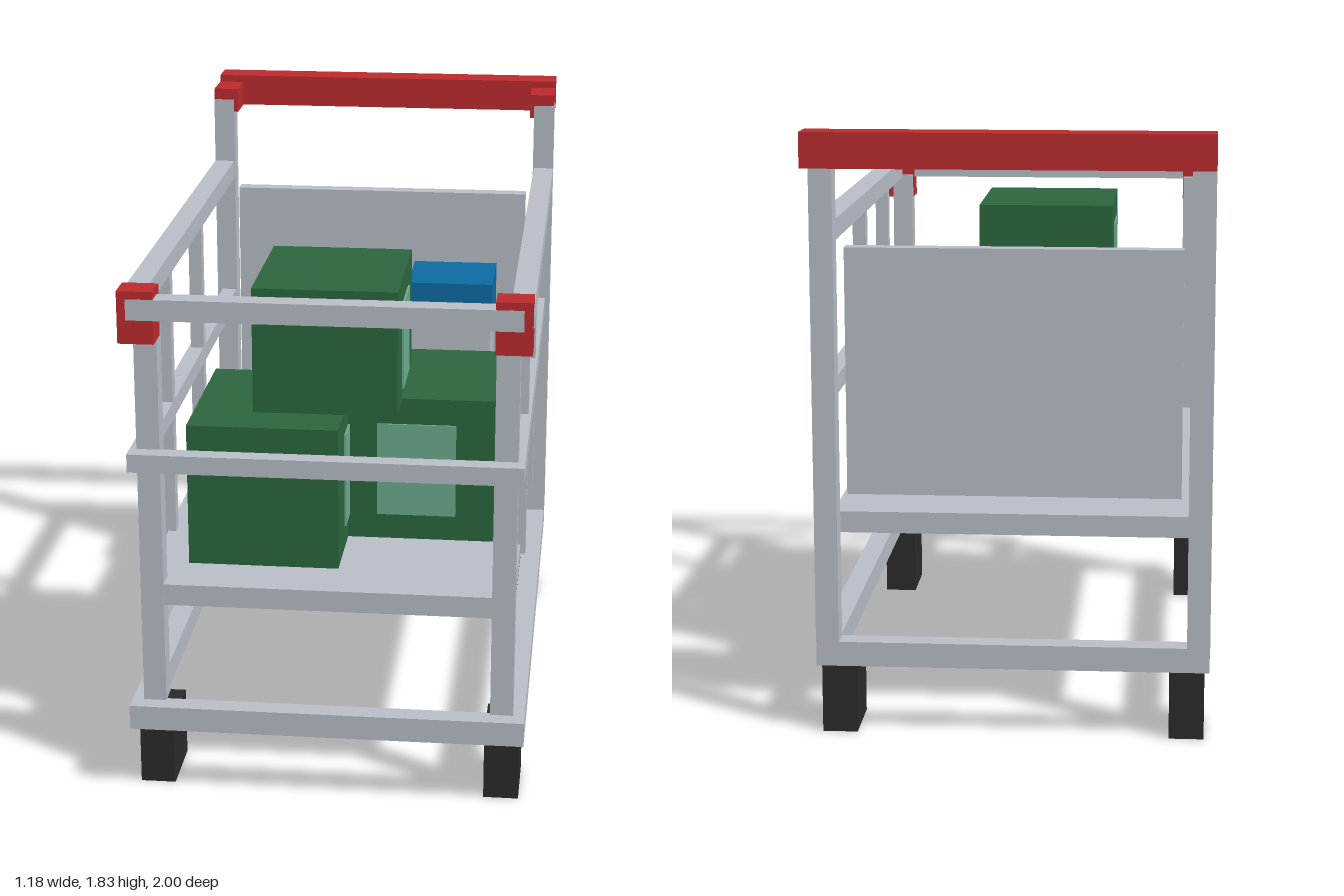
import * as THREE from 'three';

const mat = (name, color) => {
  const m = new THREE.MeshStandardMaterial({ color });
  m.name = name;
  return m;
};

export function createModel() {
  const cart = new THREE.Group();
  cart.name = 'cargoCart';
  const steel = mat('steel grey', 0xb9bec8);
  const red = mat('red', 0xbd2b2d);
  const black = mat('black rubber', 0x2b2b2b);
  const green = mat('dark green', 0x2c673f);
  const mint = mat('pale green', 0x6bad8f);
  const blue = mat('blue', 0x0e6ba4);

  // Box given by its extents on each axis
  const box = (name, m, [x0, x1], [y0, y1], [z0, z1]) => {
    const mesh = new THREE.Mesh(new THREE.BoxGeometry(x1 - x0, y1 - y0, z1 - z0), m);
    mesh.position.set((x0 + x1) / 2, (y0 + y1) / 2, (z0 + z1) / 2);
    mesh.name = name;
    cart.add(mesh);
  };
  // The same box on the left (+x) and right (-x)
  const pair = (name, m, [x0, x1], y, z) => {
    box(name + 'Left', m, [x0, x1], y, z);
    box(name + 'Right', m, [-x1, -x0], y, z);
  };

  // Wheel blocks
  pair('frontWheel', black, [0.47, 0.575], [0, 0.21], [0.715, 0.925]);
  pair('backWheel', black, [0.47, 0.575], [0, 0.21], [-0.825, -0.62]);

  // Base frame and deck
  pair('baseRail', steel, [0.525, 0.59], [0.21, 0.285], [-0.835, 1]);
  box('baseFrontRail', steel, [-0.525, 0.525], [0.21, 0.285], [0.935, 1]);
  box('baseBackRail', steel, [-0.525, 0.525], [0.21, 0.285], [-0.835, -0.765]);
  box('deck', steel, [-0.55, 0.55], [0.595, 0.66], [-0.72, 0.945]);

  // Posts
  pair('frontPost', steel, [0.487, 0.555], [0.285, 1.5], [0.88, 0.948]);
  pair('backPost', steel, [0.522, 0.591], [0.285, 1.77], [-0.835, -0.764]);

  // Side and front rails
  pair('middleRail', steel, [0.525, 0.575], [1.03, 1.085], [-0.765, 1]);
  box('middleFrontRail', steel, [-0.525, 0.525], [1.03, 1.085], [0.945, 1]);
  pair('topRail', steel, [0.525, 0.591], [1.49, 1.552], [-0.765, 0.97]);
  box('topFrontRail', steel, [-0.565, 0.565], [1.49, 1.552], [0.935, 1.001]);
  for (const z of [0.495, -0.075])
    pair('upright', steel, [0.525, 0.567], [0.63, 1.49], [z - 0.021, z + 0.021]);

  // Corner caps and push handle
  pair('cornerCap', red, [0.485, 0.59], [1.42, 1.575], [0.907, 1]);
  pair('handleBracket', red, [0.508, 0.59], [1.727, 1.807], [-0.9, -0.765]);
  box('handle', red, [-0.59, 0.59], [1.727, 1.83], [-1, -0.895]);

  // Back panel and seat
  box('backPanel', steel, [-0.5, 0.5], [0.725, 1.47], [-0.762, -0.71]);
  box('seatShelf', steel, [-0.435, 0.435], [0.82, 0.87], [-0.71, -0.468]);
  box('seatCushion', red, [-0.4, 0.4], [0.87, 0.9], [-0.71, -0.497]);

  // Column with blue box
  box('column', steel, [0.15, 0.415], [0.66, 1.155], [-0.38, -0.112]);
  box('blueBox', blue, [0.145, 0.42], [1.155, 1.31], [-0.385, -0.115]);

  // Cargo boxes
  box('rightCargo', green, [-0.44, 0.015], [0.66, 1.1], [0.213, 0.77]);
  box('leftCargo', green, [-0.01, 0.465], [0.66, 1.117], [-0.01, 0.503]);
  box('topCargo', green, [-0.26, 0.178], [1.1, 1.488], [0.132, 0.627]);

  // Pale labels on opposite faces of each cargo box
  for (const x of [-0.4425, 0.0175])
    box('rightCargoLabel', mint, [x - 0.0035, x + 0.0035], [0.735, 1.03], [0.378, 0.607]);
  for (const z of [-0.0125, 0.5055])
    box('leftCargoLabel', mint, [0.105, 0.348], [0.74, 1.035], [z - 0.0035, z + 0.0035]);
  for (const x of [-0.2625, 0.1805])
    box('topCargoLabel', mint, [x - 0.0035, x + 0.0035], [1.14, 1.413], [0.275, 0.478]);

  return cart;
}
